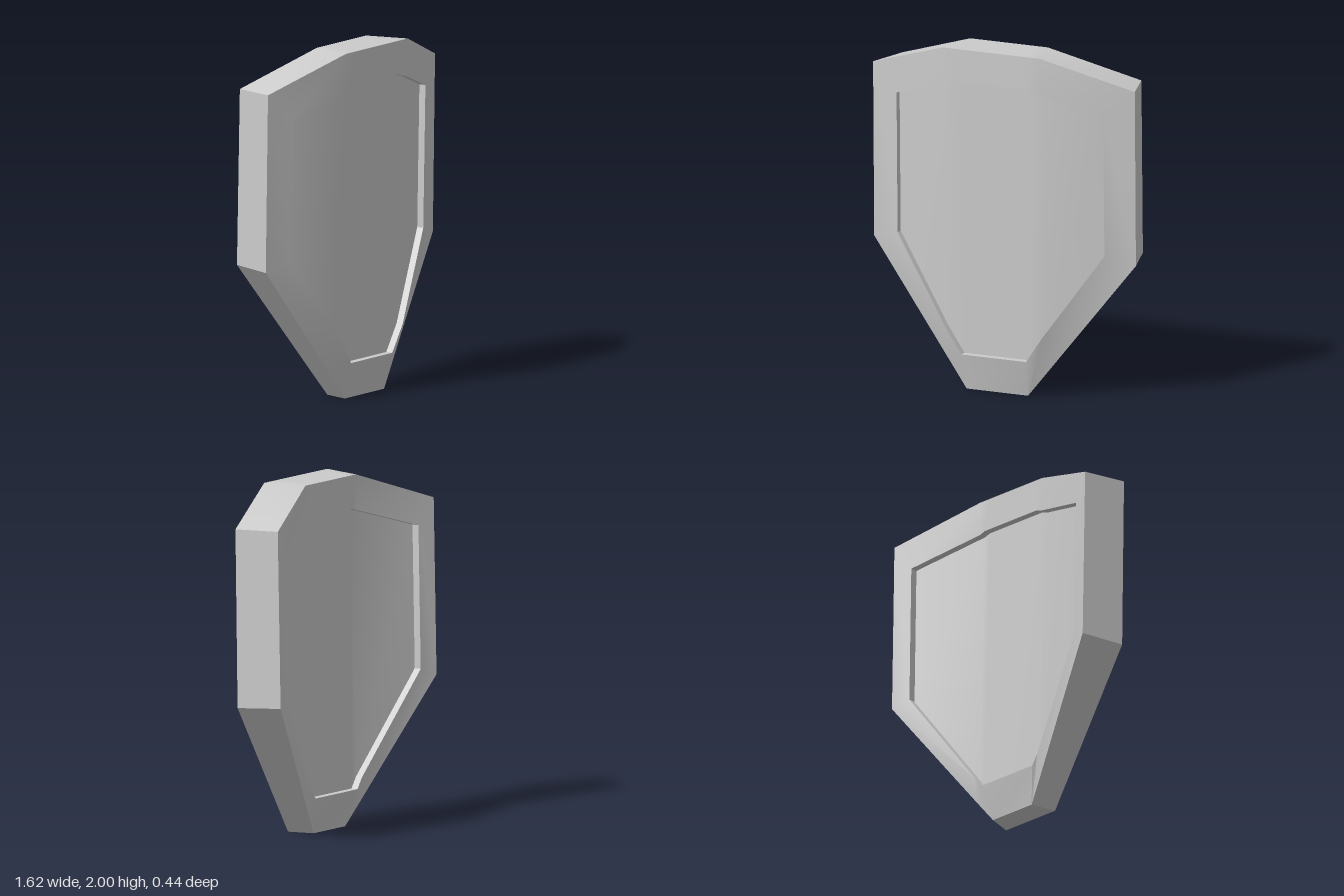
import * as THREE from 'three';
import { toCreasedNormals } from 'three/addons/utils/BufferGeometryUtils.js';

// Right half of each outline, from top centre down to the bottom tip
const outerFront = [[0.2, 2, 0.22], [0.3, 2, 0.22], [0.81, 1.82, 0.045], [0.81, 0.8, 0.03], [0.3, 0.142, 0.116], [0.19, 0, 0.135]];
const innerFront = [[0.2, 1.81, 0.22], [0.3, 1.78, 0.22], [0.64, 1.67, 0.1], [0.64, 0.85, 0.085], [0.3, 0.36, 0.185], [0.2, 0.21, 0.185]];
const outerBack = [[0.16, 2, -0.025], [0.24, 2, -0.025], [0.74, 1.82, -0.2], [0.74, 0.81, -0.22], [0.24, 0.122, -0.046], [0.15, 0, -0.015]];
const innerBack = [[0.2, 1.81, -0.028], [0.24, 1.797, -0.028], [0.64, 1.67, -0.167], [0.64, 0.85, -0.183], [0.24, 0.27, -0.065], [0.2, 0.21, -0.065]];

const RECESS = 0.042;

// Mirror a half outline into a closed loop of 12 points
const loop = half => [...half, ...[...half].reverse().map(([x, y, z]) => [-x, y, z])];
const shiftZ = (points, dz) => points.map(([x, y, z]) => [x, y, z + dz]);

function meshFromQuads(name, quads) {
  const positions = [];
  for (const [a, b, c, d] of quads) positions.push(...a, ...b, ...c, ...a, ...c, ...d);
  const geometry = new THREE.BufferGeometry();
  geometry.setAttribute('position', new THREE.Float32BufferAttribute(positions, 3));
  const mesh = new THREE.Mesh(
    toCreasedNormals(geometry, THREE.MathUtils.degToRad(28)),
    new THREE.MeshStandardMaterial({ color: 0xcccccc })
  );
  mesh.name = name;
  return mesh;
}

// Frame: skin consecutive loops from the front recess round to the back recess
function frameQuads(loops) {
  const quads = [];
  for (let k = 0; k < loops.length - 1; k++) {
    const a = loops[k], b = loops[k + 1];
    for (let i = 0; i < a.length; i++) {
      const j = (i + 1) % a.length;
      quads.push([a[i], a[j], b[j], b[i]]);
    }
  }
  return quads;
}

// Panel: flat middle with two wings folded back
function panelQuads(points, facingFront) {
  const cells = [[0, 1, 4, 5], [1, 2, 3, 4], [11, 0, 5, 6], [10, 11, 6, 7], [9, 10, 7, 8]];
  return cells.map(cell => (facingFront ? [...cell].reverse() : cell).map(i => points[i]));
}

export function createModel() {
  const shield = new THREE.Group();
  shield.name = 'shield';

  const frontRim = loop(innerFront), backRim = loop(innerBack);
  const frontFloor = shiftZ(frontRim, -RECESS), backFloor = shiftZ(backRim, RECESS);

  shield.add(
    meshFromQuads('rim', frameQuads([frontFloor, frontRim, loop(outerFront), loop(outerBack), backRim, backFloor])),
    meshFromQuads('frontPanel', panelQuads(frontFloor, true)),
    meshFromQuads('backPanel', panelQuads(backFloor, false))
  );
  return shield;
}
